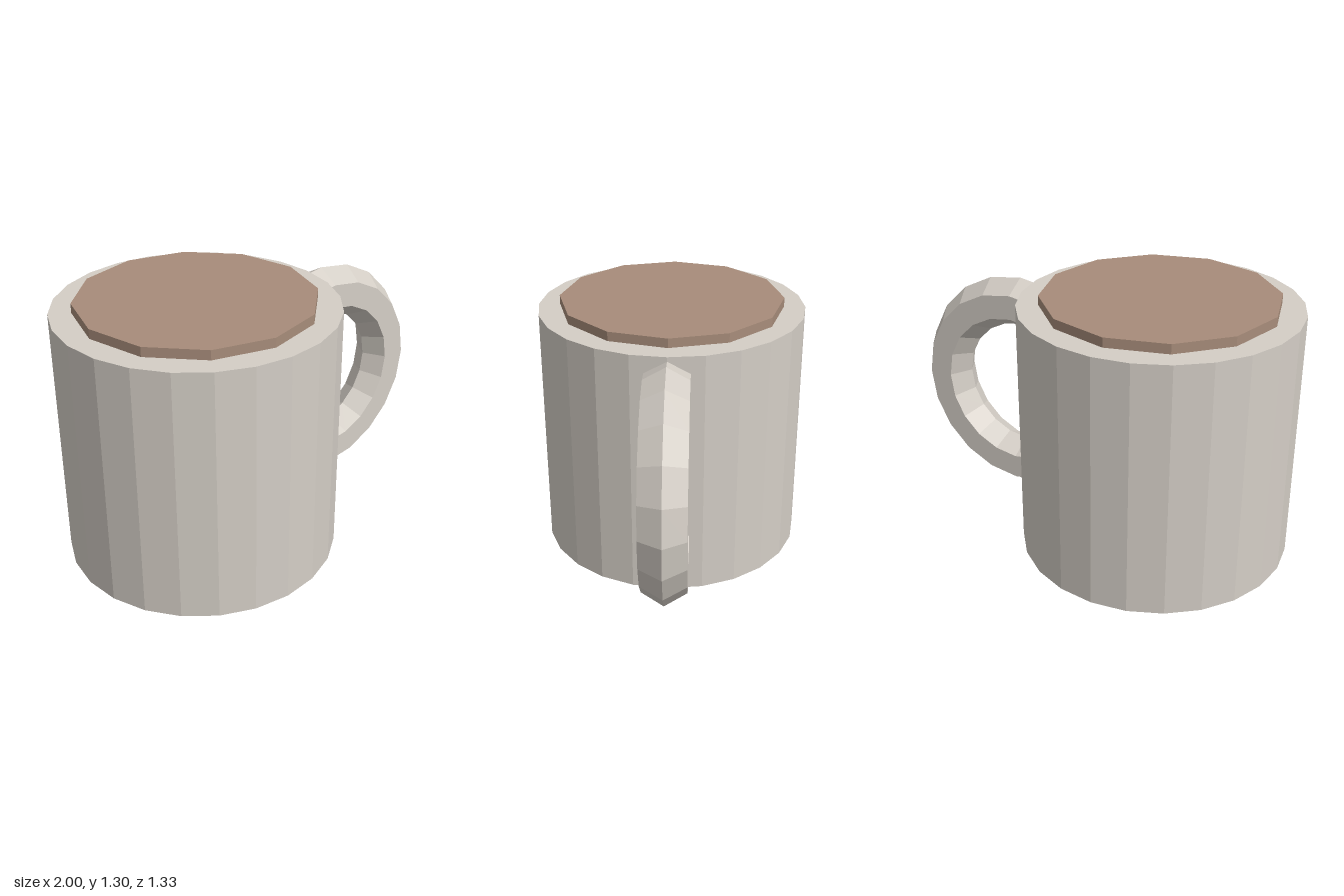
import * as THREE from 'three';

export function createModel() {
  const ceramic = new THREE.MeshStandardMaterial({ color: 0xd4cec6 });
  ceramic.name = 'ceramic';
  ceramic.flatShading = true;
  const coffee = new THREE.MeshStandardMaterial({ color: 0xa78c7a });
  coffee.name = 'coffee brown';
  coffee.flatShading = true;

  const group = new THREE.Group();
  group.name = 'mug';
  const CUP_X = -0.333, CUP_HEIGHT = 1.25;

  const add = (name, geometry, material, x, y) => {
    const mesh = new THREE.Mesh(geometry, material);
    mesh.name = name;
    mesh.position.set(x, y, 0);
    group.add(mesh);
  };

  // 24-sided solid cup
  add('cup', new THREE.CylinderGeometry(0.667, 0.667, CUP_HEIGHT, 24), ceramic, CUP_X, CUP_HEIGHT / 2);

  // 12-sided disc of drink standing slightly above the rim
  add('drink', new THREE.CylinderGeometry(0.561, 0.561, 0.046, 12), coffee, CUP_X, CUP_HEIGHT + 0.023);

  // Hexagonal ring handle in 18 degree steps, its ends buried in the cup
  const step = Math.PI / 10, steps = 14;
  const handle = new THREE.TorusGeometry(0.448, 0.1235, 6, steps, step * steps);
  handle.rotateZ(-step * steps / 2);
  add('handle', handle, ceramic, 0.4285, 0.672);

  return group;
}
